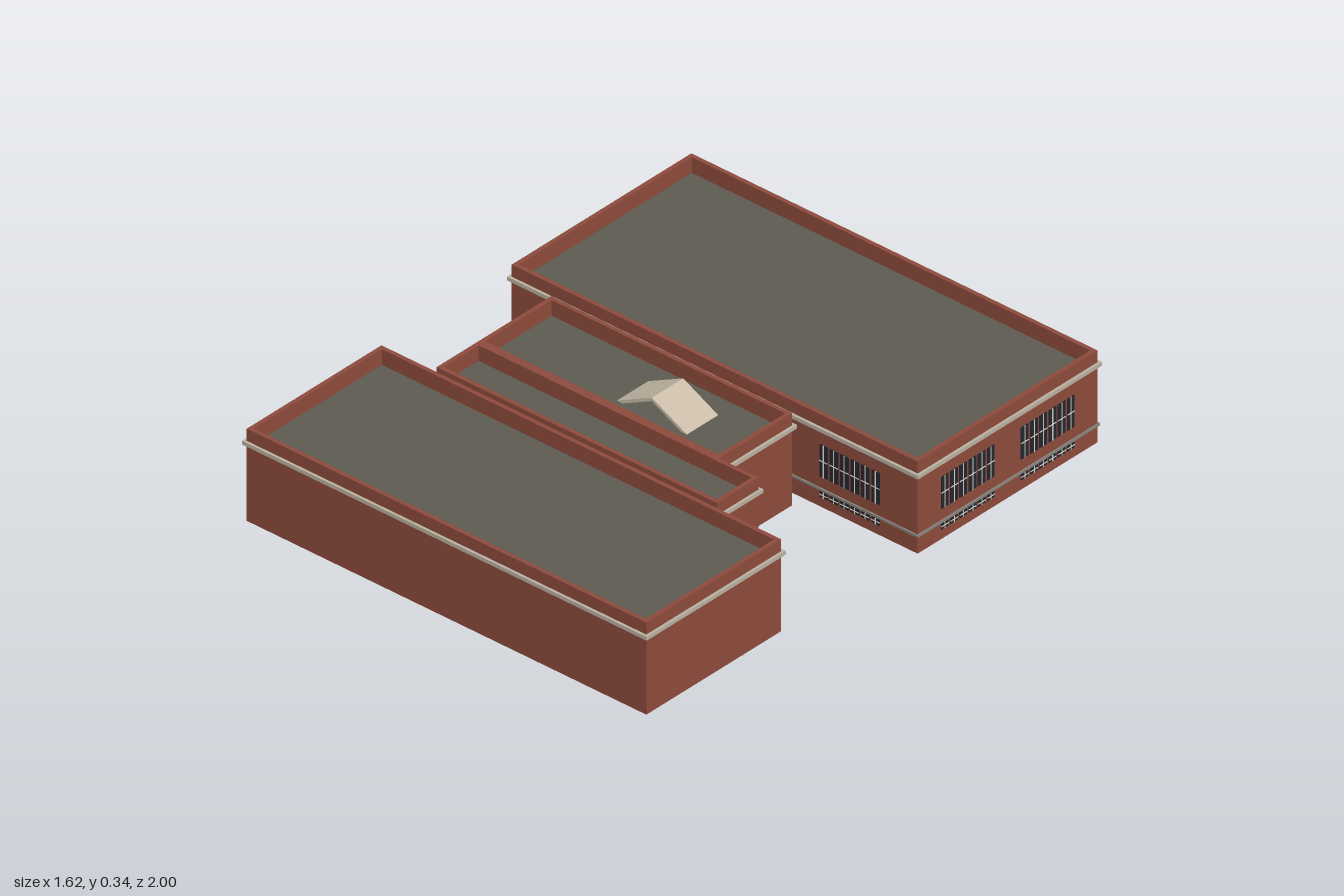
import * as THREE from 'three';
import { mergeGeometries } from 'three/addons/utils/BufferGeometryUtils.js';

const mat = (name, color) => {
  const m = new THREE.MeshStandardMaterial({ color });
  m.name = name;
  return m;
};

export function createModel() {
  const brick = mat('brick', 0x8b4a3b);
  const roofing = mat('roofing', 0x5c5a50);
  const stone = mat('stone', 0xb8b0a0);
  const cream = mat('cream', 0xc8bca8);
  const concrete = mat('concrete', 0x85827a);
  const glass = mat('glass', 0x23262f);
  const frame = mat('frame', 0xd8d4c8);

  const model = new THREE.Group();
  const HEIGHT = 0.325, ROOF = 0.27, WALL = 0.015;

  const add = (parent, name, geometry, material) => {
    const mesh = new THREE.Mesh(geometry, material);
    mesh.name = name;
    parent.add(mesh);
    return mesh;
  };
  // Box given by its limits on each axis
  const box = (x0, x1, y0, y1, z0, z1) =>
    new THREE.BoxGeometry(x1 - x0, y1 - y0, z1 - z0)
      .translate((x0 + x1) / 2, (y0 + y1) / 2, (z0 + z1) / 2);

  const rect = (Type, x0, x1, z0, z1) => {
    const p = new Type();
    p.moveTo(x0, -z0).lineTo(x0, -z1).lineTo(x1, -z1).lineTo(x1, -z0).closePath();
    return p;
  };
  // Rectangular ring: grown outwards by "out" and inwards by "inn"
  const ring = ([x0, x1, z0, z1], out, inn, y0, y1) => {
    const s = rect(THREE.Shape, x0 - out, x1 + out, z0 - out, z1 + out);
    s.holes.push(rect(THREE.Path, x0 + inn, x1 - inn, z0 + inn, z1 - inn));
    return new THREE.ExtrudeGeometry(s, { depth: y1 - y0, bevelEnabled: false })
      .rotateX(-Math.PI / 2).translate(0, y0, 0);
  };

  // Open-bottomed block with parapet, sunken flat roof and cornice
  const block = (name, r) => {
    const g = new THREE.Group();
    g.name = name;
    model.add(g);
    add(g, 'walls', ring(r, 0, WALL, 0, HEIGHT), brick);
    add(g, 'cornice', ring(r, 0.01, -0.0005, 0.27, 0.283), stone);
    add(g, 'roof', box(r[0] + WALL, r[1] - WALL, ROOF - 0.008, ROOF, r[2] + WALL, r[3] - WALL), roofing);
    return g;
  };

  const rearRect = [-0.8, 0.8, -0.99, -0.19];
  const rear = block('rearWing', rearRect);
  block('middleBlock', [-0.6, 0.35, -0.14, 0.185]);
  block('middleAnnex', [-0.6, 0.505, 0.185, 0.37]);
  block('frontWing', [-0.8, 0.775, 0.39, 0.99]);
  add(rear, 'stringCourse', ring(rearRect, 0.006, -0.0005, 0.06, 0.068), concrete);

  // One bank of six tall windows above six basement windows, facing +z
  const panes = [], bars = [];
  for (let i = 0; i < 6; i++) {
    const x = (i - 2.5) * 0.041, w = 0.0165;
    panes.push(box(x - w, x + w, 0.107, 0.22, 0, 0.002), box(x - w, x + w, 0.034, 0.055, 0, 0.002));
    bars.push(
      box(x - 0.0015, x + 0.0015, 0.107, 0.22, 0, 0.0035),
      box(x - w, x + w, 0.162, 0.165, 0, 0.0035),
      box(x - 0.0015, x + 0.0015, 0.034, 0.055, 0, 0.0035),
      box(x - w, x + w, 0.043, 0.046, 0, 0.0035));
  }
  const paneGeo = mergeGeometries(panes), barGeo = mergeGeometries(bars);
  const windowBank = (x, z, turn) => {
    const g = new THREE.Group();
    g.name = 'windowBank';
    add(g, 'panes', paneGeo, glass);
    add(g, 'glazingBars', barGeo, frame);
    g.position.set(x, 0, z);
    g.rotation.y = turn;
    rear.add(g);
  };
  for (const x of [-0.533, -0.178, 0.178, 0.533]) {
    windowBank(x, -0.99, Math.PI);
    windowBank(x, -0.19, 0);
  }
  for (const z of [-0.768, -0.412]) {
    windowBank(0.8, z, Math.PI / 2);
    windowBank(-0.8, z, -Math.PI / 2);
  }

  // Entrance between the rear wing and the middle block
  const entrance = new THREE.Group();
  entrance.name = 'entrance';
  model.add(entrance);
  add(entrance, 'canopy', box(-0.21, 0.21, 0.225, 0.268, -0.18, -0.14), cream);
  add(entrance, 'landing', box(-0.21, 0.21, 0.02, 0.07, -0.215, -0.125), concrete);
  add(entrance, 'plaque', box(-0.1, 0.1, 0.154, 0.166, -0.19, -0.175), concrete);
  for (let i = 0; i < 3; i++) {
    const w = 0.22 + i * 0.012, z = -0.125 + i * 0.028;
    add(entrance, 'step', box(-w, w, 0.04 - i * 0.018, 0.058 - i * 0.018, z, z + 0.03), concrete);
  }

  // Small gabled roof over the middle block
  const gable = new THREE.Shape();
  gable.moveTo(-0.138, 0.27).lineTo(-0.115, 0.27).lineTo(0, 0.328).lineTo(0.115, 0.27)
    .lineTo(0.138, 0.27).lineTo(0, 0.34).closePath();
  add(model, 'gableRoof',
    new THREE.ExtrudeGeometry(gable, { depth: 0.14, bevelEnabled: false }).translate(0, 0, -0.05), cream);

  return model;
}
